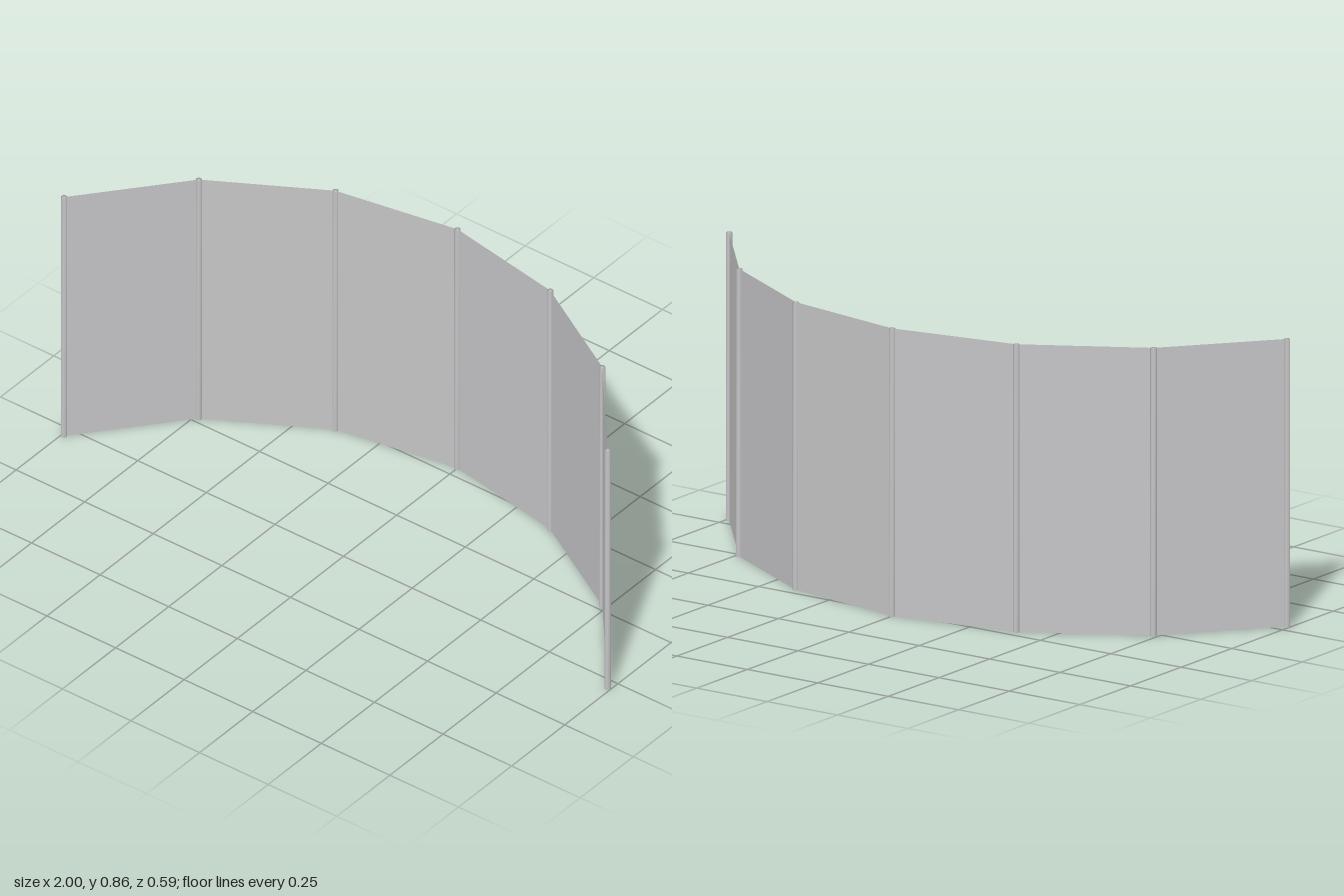
import * as THREE from 'three';
import { mergeVertices } from 'three/addons/utils/BufferGeometryUtils.js';

const HEIGHT = 0.86;
const RADIUS = 1.144;
const POST_RADIUS = 0.0095;
const STEP = Math.PI / 9; // 20 degrees between posts

// Point on the arc at a post index from -3 to 3
function arcPoint(i) {
  const a = i * STEP;
  return new THREE.Vector3(RADIUS * Math.sin(a), HEIGHT / 2, RADIUS * (0.75 - Math.cos(a)));
}

// Slim post with normals blended softly over its rims
function postGeometry() {
  const g = new THREE.CylinderGeometry(POST_RADIUS, POST_RADIUS, HEIGHT, 8);
  g.deleteAttribute('uv');
  g.deleteAttribute('normal');
  const merged = mergeVertices(g, 1e-5);
  merged.computeVertexNormals();
  return merged;
}

export function createModel() {
  const model = new THREE.Group();
  model.name = 'curvedScreen';
  const grey = new THREE.MeshStandardMaterial({ color: 0xc4c4c6 });
  grey.name = 'screen grey';
  grey.side = THREE.DoubleSide;

  // Seven posts along the arc
  const postGeo = postGeometry();
  for (let i = -3; i <= 3; i++) {
    const post = new THREE.Mesh(postGeo, grey);
    post.name = 'post';
    post.position.copy(arcPoint(i));
    post.rotation.y = -i * STEP;
    model.add(post);
  }

  // Six thin flat panels between neighbouring posts
  const width = arcPoint(0).distanceTo(arcPoint(1));
  const panelGeo = new THREE.PlaneGeometry(width, HEIGHT);
  for (let i = -3; i < 3; i++) {
    const panel = new THREE.Mesh(panelGeo, grey);
    panel.name = 'panel';
    panel.position.copy(arcPoint(i)).lerp(arcPoint(i + 1), 0.5);
    panel.rotation.y = -(i + 0.5) * STEP;
    model.add(panel);
  }
  return model;
}
